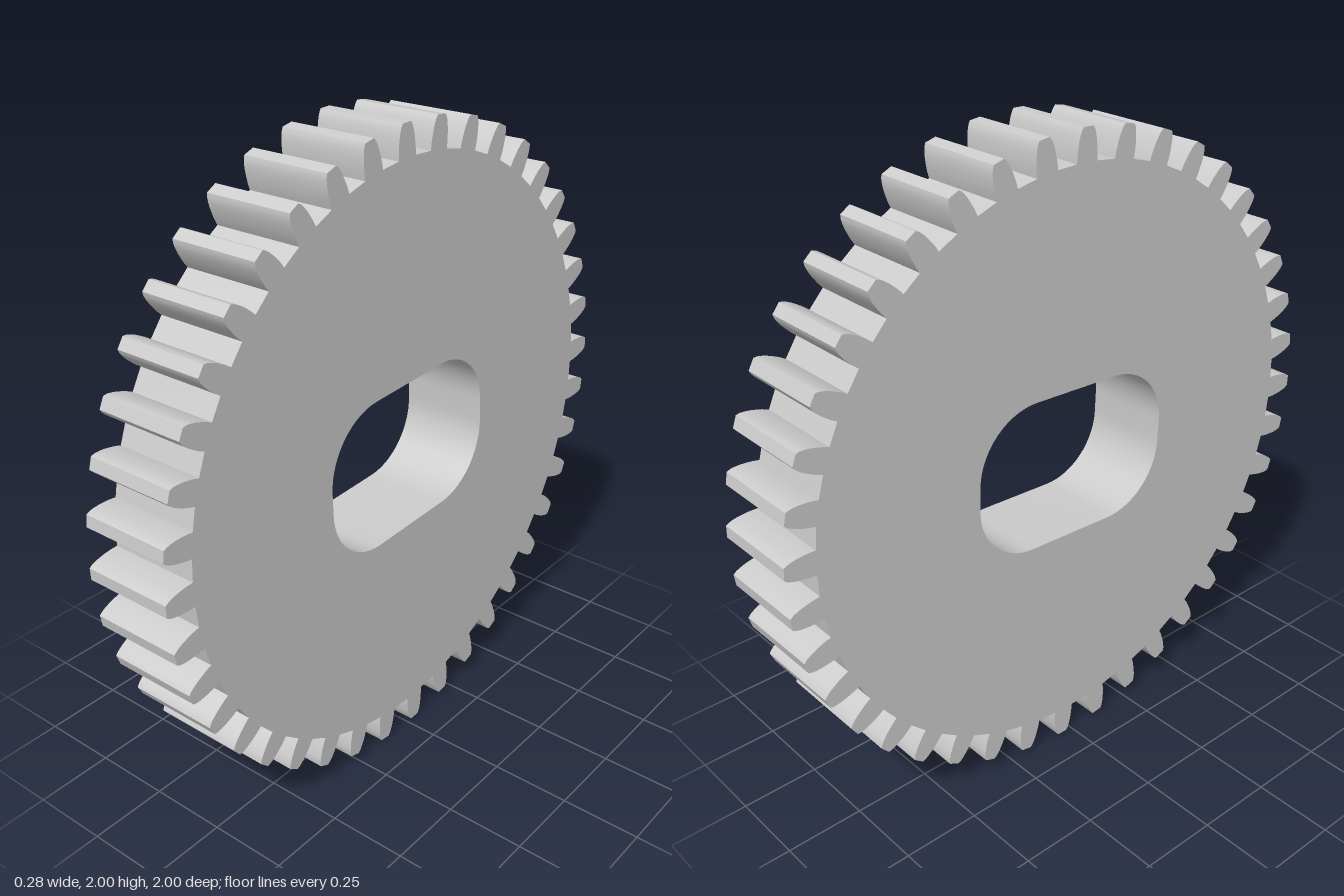
import * as THREE from 'three';
import { toCreasedNormals } from 'three/addons/utils/BufferGeometryUtils.js';

const TEETH = 40;
const THICKNESS = 0.284;
const TILT = THREE.MathUtils.degToRad(2.2);

// Half of one tooth flank from root to tip: [radius, half width]
const FLANK = [
  [0.904, 0.037], [0.925, 0.037], [0.945, 0.035], [0.962, 0.0325],
  [0.977, 0.029], [0.99, 0.0245], [1.0, 0.018],
];

// Outline of the toothed rim, counterclockwise, with one tooth at the top
function gearOutline() {
  const points = [];
  for (let i = 0; i < TEETH; i++) {
    const a = Math.PI / 2 + TILT + (i / TEETH) * Math.PI * 2;
    const add = (r, w) => {
      const t = a + w / r;
      points.push(new THREE.Vector2(r * Math.cos(t), r * Math.sin(t)));
    };
    FLANK.forEach(([r, w]) => add(r, -w));
    [...FLANK].reverse().forEach(([r, w]) => add(r, w));
  }
  return new THREE.Shape(points);
}

// Rounded rectangular bore, tilted together with the teeth
function boreOutline(halfW, halfH, radius) {
  const points = [];
  const corners = [[1, 1], [-1, 1], [-1, -1], [1, -1]];
  const steps = 14;
  corners.forEach(([sx, sy], q) => {
    for (let i = 0; i <= steps; i++) {
      const t = (q + i / steps) * Math.PI / 2;
      const p = new THREE.Vector2(
        sx * (halfW - radius) + radius * Math.cos(t),
        sy * (halfH - radius) + radius * Math.sin(t),
      );
      points.push(p.rotateAround(new THREE.Vector2(), TILT));
    }
  });
  return new THREE.Path(points.reverse());
}

export function createModel() {
  const group = new THREE.Group();
  group.name = 'spurGear';

  const shape = gearOutline();
  shape.holes.push(boreOutline(0.36, 0.24, 0.205));

  // Extrude the profile, then turn its axis along x
  let geometry = new THREE.ExtrudeGeometry(shape, { depth: THICKNESS, bevelEnabled: false });
  geometry.translate(0, 0, -THICKNESS / 2);
  geometry.rotateY(Math.PI / 2);
  geometry.translate(0, 1, 0);
  geometry = toCreasedNormals(geometry, 0.45);

  const gear = new THREE.Mesh(geometry, new THREE.MeshStandardMaterial({ color: 0xcccccc }));
  gear.name = 'toothedWheel';
  group.add(gear);
  return group;
}
